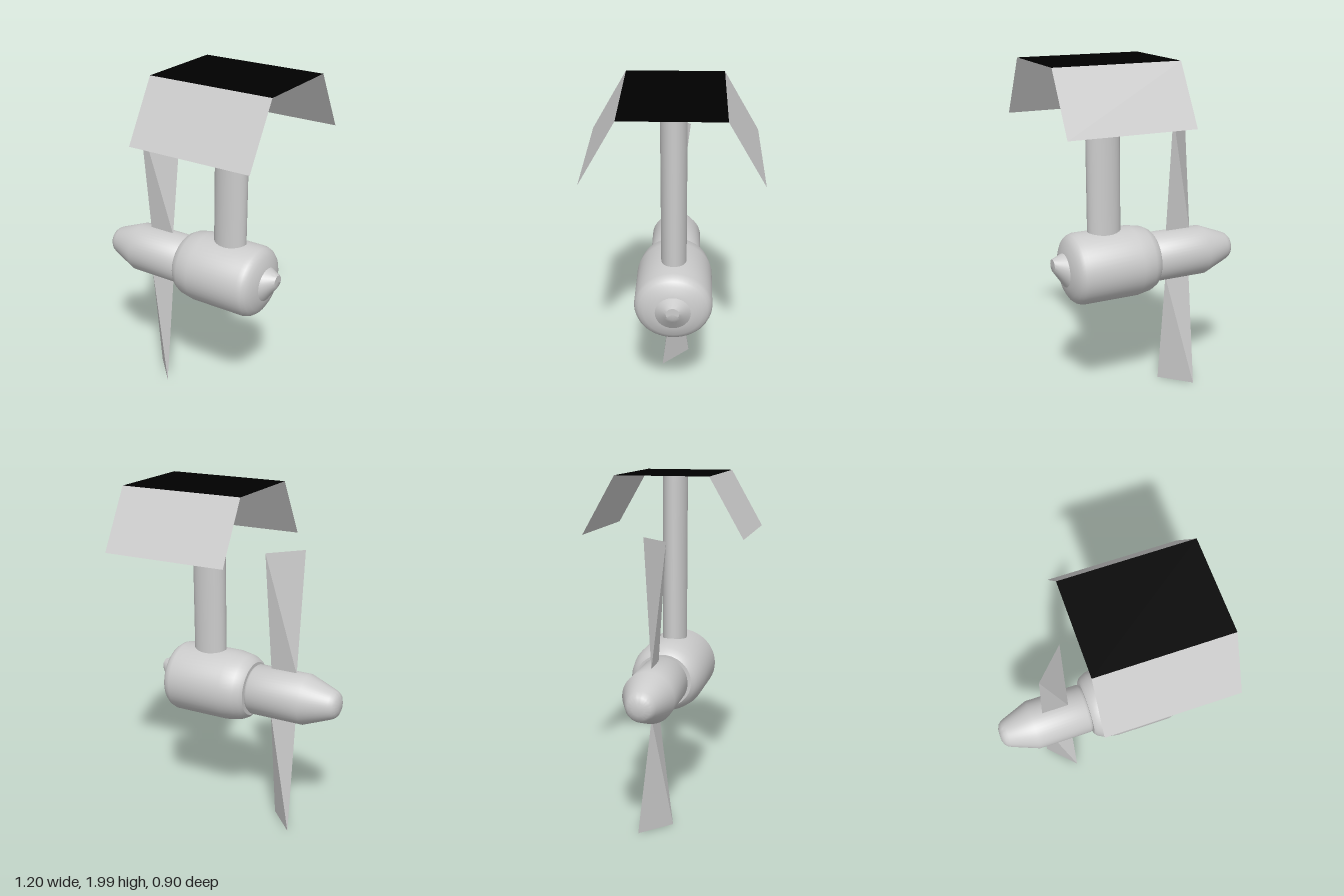
import * as THREE from 'three';
import { toCreasedNormals } from 'three/addons/utils/BufferGeometryUtils.js';

const AXIS_Y = 0.845;

export function createModel() {
  const group = new THREE.Group();
  const grey = new THREE.MeshStandardMaterial({ color: 0xcccccc });
  const sheetGrey = new THREE.MeshStandardMaterial({ color: 0xcccccc, side: THREE.DoubleSide });
  const sheetBlack = new THREE.MeshStandardMaterial({ color: 0x000000, side: THREE.DoubleSide });

  const add = (name, geometry, material) => {
    const mesh = new THREE.Mesh(geometry, material);
    mesh.name = name;
    group.add(mesh);
    return mesh;
  };

  // Turned body along the x axis from [x, radius] pairs
  const turned = (name, profile, widthScale = 1) => {
    const lathe = new THREE.LatheGeometry(profile.map(([x, r]) => new THREE.Vector2(r, x)), 48);
    lathe.rotateZ(-Math.PI / 2).scale(1, 1, widthScale).translate(0, AXIS_Y, 0);
    return add(name, toCreasedNormals(lathe, 0.7), grey);
  };

  // Rotating hub with rounded nose
  turned('rotorHub', [
    [-0.602, 0], [-0.6, 0.035], [-0.589, 0.062], [-0.575, 0.076], [-0.555, 0.086],
    [-0.4, 0.146], [-0.085, 0.146], [-0.07, 0.135], [-0.06, 0],
  ]);

  // Generator housing, slightly wider than tall
  turned('housing', [
    [-0.07, 0], [-0.07, 0.155], [-0.055, 0.172], [-0.02, 0.19], [0.06, 0.204], [0.385, 0.204],
    [0.41, 0.196], [0.43, 0.18], [0.445, 0.155], [0.465, 0.1], [0.466, 0],
  ], 1.05);

  // Tail cone, its tip raised above the axis
  const tail = new THREE.CylinderGeometry(0.036, 0.1, 0.07, 32, 4);
  tail.rotateZ(-Math.PI / 2).translate(0.497, AXIS_Y, 0);
  const tp = tail.attributes.position;
  for (let i = 0; i < tp.count; i++) {
    const t = (tp.getX(i) - 0.462) / 0.07;
    tp.setY(i, tp.getY(i) + 0.04 * t);
  }
  add('tailCone', toCreasedNormals(tail, 0.7), grey);

  // Oval mast from the housing to the canopy
  const mast = new THREE.CylinderGeometry(1, 1, 1, 40);
  mast.scale(0.098, 0.99, 0.07).translate(0.22, 1.502, 0);
  add('mast', mast, grey);

  // Wedge blades: a slanted tip edge tapering to a straight root edge
  const a = [-0.332, 1.68, 0.082], b = [-0.171, 1.68, -0.084];
  const c = [-0.175, 0.985, 0], d = [-0.332, 0.985, 0];
  const corners = [a, b, d, a, c, b, a, d, c, b, c, d].flat();
  for (const [name, turn] of [['upperBlade', 0], ['lowerBlade', Math.PI]]) {
    const blade = new THREE.BufferGeometry();
    blade.setAttribute('position', new THREE.Float32BufferAttribute(corners, 3));
    blade.translate(0, -AXIS_Y, 0).rotateX(turn).translate(0, AXIS_Y - 0.002, 0);
    blade.computeVertexNormals();
    add(name, blade, sheetGrey);
  }

  // Canopy: flat dark top with a sloping flap on each side
  const top = new THREE.PlaneGeometry(0.716, 0.524);
  top.rotateX(-Math.PI / 2).translate(0.242, 2, 0);
  add('canopyTop', top, sheetBlack);

  const drop = 0.328, reach = 0.19;
  for (const [name, side] of [['frontFlap', 1], ['backFlap', -1]]) {
    const flap = new THREE.PlaneGeometry(0.716, Math.hypot(drop, reach));
    flap.rotateX(-Math.atan2(reach, drop)).translate(0.242, 2 - drop / 2, 0.262 + reach / 2);
    if (side < 0) flap.translate(-0.242, 0, 0).rotateY(Math.PI).translate(0.242, 0, 0);
    add(name, flap, sheetGrey);
  }

  return group;
}
